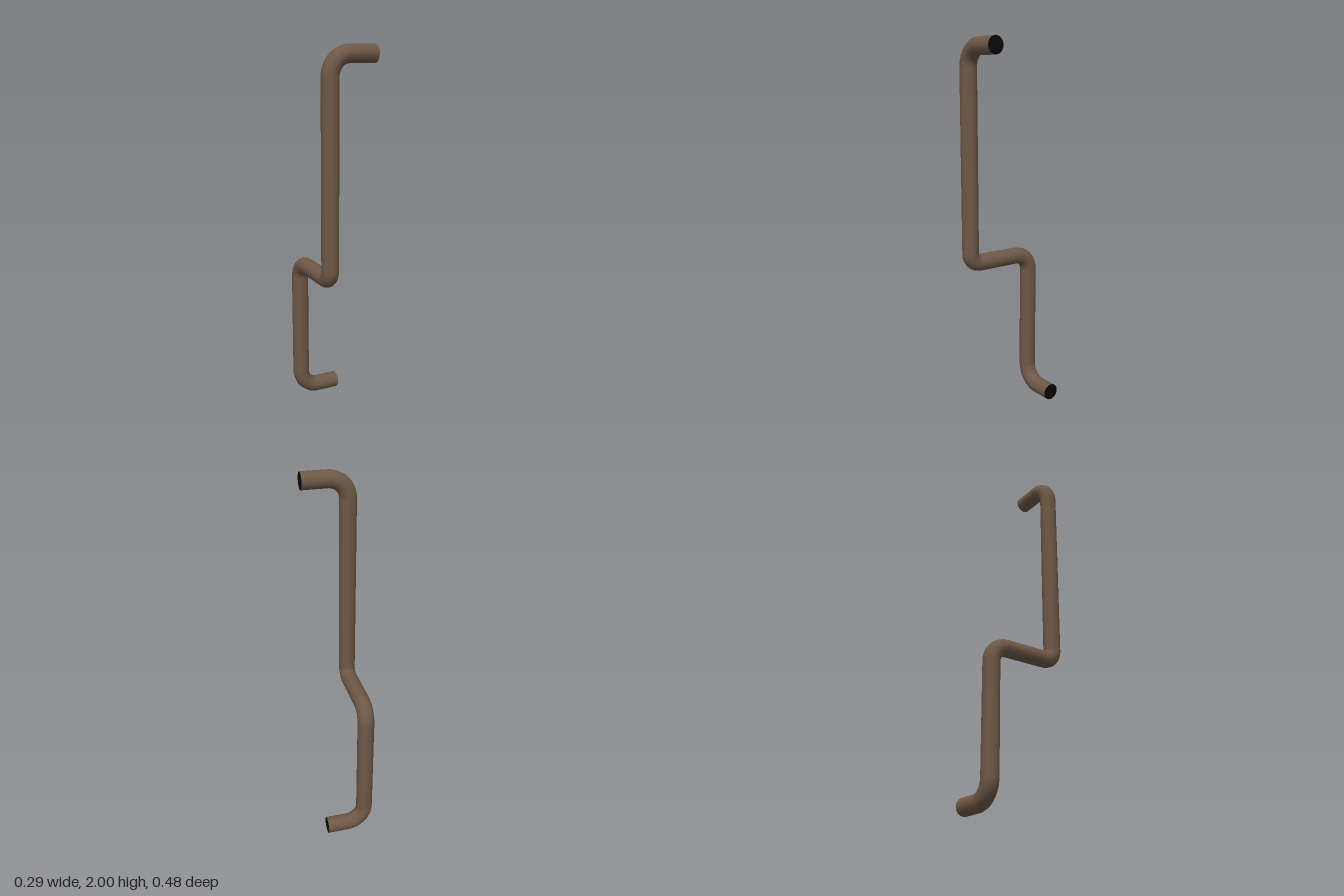
import * as THREE from 'three';

const RADIUS = 0.0455, SIDES = 16;

// Straight runs joined by rounded elbows; each inner corner has its own bend radius
function bentPath(corners, bends) {
  const path = new THREE.CurvePath();
  let start = corners[0];
  bends.forEach((r, i) => {
    const [a, c, b] = corners.slice(i, i + 3);
    const toward = (p, d) => c.clone().addScaledVector(p.clone().sub(c).normalize(), d);
    const enter = toward(a, r), exit = toward(b, r);
    path.add(new THREE.LineCurve3(start, enter));
    path.add(new THREE.CubicBezierCurve3(enter, toward(a, r * 0.448), toward(b, r * 0.448), exit));
    start = exit;
  });
  path.add(new THREE.LineCurve3(start, corners[corners.length - 1]));
  return path;
}

export function createModel() {
  const model = new THREE.Group();
  model.name = 'bentPipe';
  const brown = new THREE.MeshStandardMaterial({ color: 0x6e5846 });
  brown.name = 'brown';
  const black = new THREE.MeshStandardMaterial({ color: 0x080808 });
  black.name = 'black';

  const corners = [
    [0.145, 1.9545, 0.194],
    [-0.1, 1.9545, 0.194],
    [-0.1, 0.819, 0.194],
    [-0.1, 0.819, -0.194],
    [-0.1, 0.0475, -0.194],
    [0.12, 0.0475, -0.194],
  ].map((p) => new THREE.Vector3(...p));

  // Pipe
  const path = bentPath(corners, [0.105, 0.055, 0.09, 0.105]);
  const pipe = new THREE.Mesh(new THREE.TubeGeometry(path, 240, RADIUS, SIDES), brown);
  pipe.name = 'pipe';
  model.add(pipe);

  // Dark end faces, both looking toward +x
  [['upperEnd', corners[0]], ['lowerEnd', corners[5]]].forEach(([name, at]) => {
    const end = new THREE.Mesh(new THREE.CircleGeometry(RADIUS, SIDES), black);
    end.name = name;
    end.rotation.y = Math.PI / 2;
    end.position.copy(at);
    model.add(end);
  });
  return model;
}
